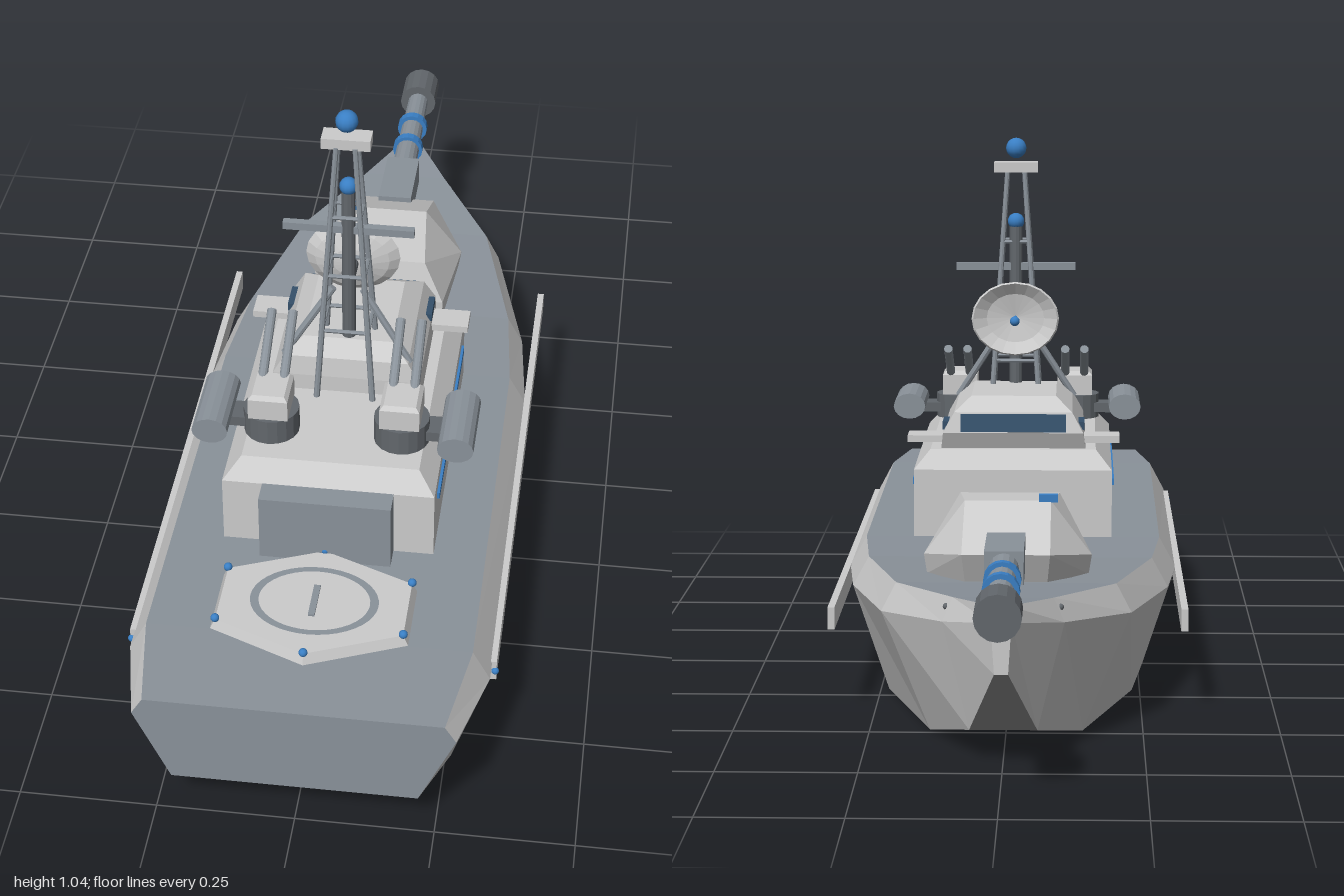
import * as THREE from 'three';
import { ConvexGeometry } from 'three/addons/geometries/ConvexGeometry.js';

const mat = (color) => new THREE.MeshStandardMaterial({ color, flatShading: false });
const flat = (color) => new THREE.MeshStandardMaterial({ color, flatShading: true });
const GREY = 0xcccccc, SLATE = 0x8a929a, DARK = 0x62676c, BLUE = 0x3a7fc4, GLASS = 0x35506a;
const V = (x, y, z) => new THREE.Vector3(x, y, z);

export function createModel() {
  const model = new THREE.Group();

  const add = (name, geo, color, x = 0, y = 0, z = 0, parent = model, smooth = false) => {
    const m = new THREE.Mesh(geo, smooth ? mat(color) : flat(color));
    m.name = name;
    m.position.set(x, y, z);
    parent.add(m);
    return m;
  };
  const box = (name, w, h, d, color, x, y, z, parent) =>
    add(name, new THREE.BoxGeometry(w, h, d), color, x, y, z, parent);
  const ball = (name, r, x, y, z, color = BLUE) =>
    add(name, new THREE.SphereGeometry(r, 14, 10), color, x, y, z, model, true);
  // Round bar between two points
  const rod = (name, a, b, r, color, r2 = r, sides = 12) => {
    const m = add(name, new THREE.CylinderGeometry(r2, r, a.distanceTo(b), sides), color);
    m.position.copy(a).add(b).multiplyScalar(0.5);
    m.quaternion.setFromUnitVectors(V(0, 1, 0), b.clone().sub(a).normalize());
    return m;
  };
  // Surface through rows of points
  const skin = (name, rows, color) => {
    const p = [];
    for (let i = 0; i < rows.length - 1; i++)
      for (let j = 0; j < rows[i].length - 1; j++) {
        const a = rows[i][j], b = rows[i][j + 1], c = rows[i + 1][j + 1], d = rows[i + 1][j];
        for (const v of [a, b, c, a, c, d]) p.push(v.x, v.y, v.z);
      }
    const g = new THREE.BufferGeometry();
    g.setAttribute('position', new THREE.Float32BufferAttribute(p, 3));
    g.computeVertexNormals();
    return add(name, g, color);
  };
  // Solid block from stacked rectangles [y, halfWidth, zBow, zStern]
  const block = (name, levels, color) => add(name, new ConvexGeometry(
    levels.flatMap(([y, w, a, b]) => [V(-w, y, a), V(w, y, a), V(-w, y, b), V(w, y, b)])), color);

  // Hull stations: z, then half width and height of deck edge, knuckle and bottom
  const stations = [
    [1.0, 0.265, 0.258, 0.285, 0.225, 0.22, 0.08],
    [0.81, 0.295, 0.26, 0.327, 0.2, 0.26, 0],
    [0.0, 0.292, 0.26, 0.325, 0.2, 0.26, 0],
    [-0.2, 0.272, 0.262, 0.303, 0.205, 0.235, 0],
    [-0.48, 0.2, 0.276, 0.228, 0.222, 0.14, 0],
    [-0.67, 0.088, 0.294, 0.107, 0.25, 0.06, 0.055],
    [-0.8, 0.014, 0.31, 0.018, 0.28, 0.012, 0.19],
  ];
  const at = (s, k, side) => V(side * s[1 + 2 * k], s[2 + 2 * k], s[0]);
  const pair = (s, k) => [at(s, k, -1), at(s, k, 1)];
  const stern = stations[0], bow = stations[stations.length - 1];
  skin('hullSideLeft', stations.map((s) => [0, 1, 2].map((k) => at(s, k, 1))), GREY);
  skin('hullSideRight', stations.map((s) => [2, 1, 0].map((k) => at(s, k, -1))), GREY);
  skin('hullBottom', stations.map((s) => pair(s, 2).reverse()), 0x8c8c8c);
  skin('deck', stations.map((s) => pair(s, 0)), SLATE);
  skin('transom', [2, 1, 0].map((k) => pair(stern, k)), SLATE);
  skin('stem', [0, 1, 2].map((k) => pair(bow, k)), GREY);

  // Deckhouse, bridge and hangar door
  block('deckhouse', [[0.255, 0.197, -0.005, 0.557], [0.395, 0.197, -0.005, 0.557],
    [0.432, 0.165, 0.025, 0.525]], GREY);
  block('bridge', [[0.425, 0.145, 0.04, 0.31], [0.465, 0.14, 0.022, 0.31],
    [0.505, 0.118, 0.032, 0.305], [0.532, 0.085, 0.075, 0.275]], GREY);
  const glass = box('bridgeWindow', 0.21, 0.036, 0.008, GLASS, 0, 0.484, 0.027);
  glass.rotation.x = 0.25;
  box('hangarDoor', 0.244, 0.135, 0.05, SLATE, 0, 0.328, 0.578);

  for (const s of [-1, 1]) {
    box('sideStripe', 0.006, 0.014, 0.46, BLUE, s * 0.199, 0.362, 0.28);
    box('bridgeWing', 0.075, 0.014, 0.055, GREY, s * 0.175, 0.448, 0.077);
    box('bridgeSideWindow', 0.012, 0.016, 0.06, GLASS, s * 0.136, 0.475, 0.08);
    box('strake', 0.013, 0.042, 1.15, GREY, s * 0.329, 0.183, 0.195);
    ball('strakeLight', 0.007, s * 0.333, 0.183, 0.77);
    ball('hawse', 0.006, s * 0.1, 0.275, -0.66, DARK);

    // Aft twin gun
    add('gunDrum', new THREE.CylinderGeometry(0.052, 0.052, 0.05, 18), DARK, s * 0.122, 0.458, 0.435);
    block('gunHousing', [[0, 0.037, -0.045, 0.04], [0.042, 0.037, -0.045, 0.04],
      [0.05, 0.03, -0.038, 0.033]], GREY).position.set(s * 0.122, 0.484, 0.44);
    for (const dx of [-0.02, 0.02])
      rod('gunBarrel', V(s * 0.122 + dx, 0.515, 0.43), V(s * 0.122 + dx, 0.597, 0.29), 0.009, SLATE);
    // Side pod
    const pod = rod('sidePod', V(s * 0.228, 0.465, 0.352), V(s * 0.228, 0.465, 0.503), 0.03, SLATE, 0.03, 16);
    pod.scale.set(1.12, 1, 0.9);
    box('podBracket', 0.06, 0.02, 0.05, DARK, s * 0.18, 0.455, 0.43);
  }

  // Landing pad
  const pad = add('landingPad', new THREE.CylinderGeometry(0.138, 0.146, 0.022, 6), GREY, 0, 0.269, 0.735);
  pad.scale.x = 1.42;
  const ring = add('padRing', new THREE.RingGeometry(0.078, 0.09, 40), SLATE, 0, 0.282, 0.735);
  ring.rotation.x = -Math.PI / 2;
  ring.scale.x = 1.3;
  box('padBar', 0.012, 0.006, 0.08, SLATE, 0, 0.281, 0.735);
  for (let i = 0; i < 6; i++) {
    const a = i * Math.PI / 3;
    ball('padLight', 0.008, Math.sin(a) * 0.138 * 1.42, 0.283, 0.735 + Math.cos(a) * 0.138);
  }

  // Missile cells
  box('cellBase', 0.225, 0.045, 0.145, DARK, 0, 0.278, -0.105);
  for (const x of [-0.073, 0, 0.073])
    for (const z of [-0.142, -0.072]) {
      box('cellHatch', 0.055, 0.008, 0.052, SLATE, x, 0.303, z);
      box('cellLid', 0.022, 0.006, 0.022, DARK, x, 0.306, z);
    }

  // Main turret
  const turret = [];
  for (const s of [-1, 1]) turret.push(
    V(s * 0.135, 0.268, -0.18), V(s * 0.15, 0.268, -0.37), V(s * 0.075, 0.28, -0.49),
    V(s * 0.135, 0.305, -0.18), V(s * 0.156, 0.305, -0.37), V(s * 0.08, 0.335, -0.515),
    V(s * 0.095, 0.388, -0.2), V(s * 0.08, 0.405, -0.365));
  add('mainTurret', new ConvexGeometry(turret), GREY);
  box('turretSight', 0.035, 0.014, 0.014, BLUE, -0.075, 0.41, -0.362);

  // Main gun, pointing over the bow
  const gunY = 0.337;
  const gun = (name, z0, z1, r, color, r2 = r) => rod(name, V(0, gunY, z0), V(0, gunY, z1), r, color, r2, 16);
  box('gunMantlet', 0.07, 0.06, 0.16, SLATE, 0, gunY, -0.55);
  gun('mainBarrel', -0.6, -0.95, 0.027, SLATE, 0.022);
  gun('muzzle', -0.92, -1.0, 0.04, DARK);
  for (const z of [-0.72, -0.81]) gun('barrelBand', z + 0.009, z - 0.009, 0.033, BLUE);

  // Lattice mast
  const leg = (sx, sz, y) => {
    const t = (y - 0.48) / 0.48;
    return V(sx * (0.05 - 0.032 * t), y, 0.279 + sz * (0.047 - 0.03 * t));
  };
  const corners = [[-1, -1], [1, -1], [1, 1], [-1, 1]];
  corners.forEach(([sx, sz], i) => {
    rod('mastLeg', leg(sx, sz, 0.43), leg(sx, sz, 0.97), 0.006, SLATE, 0.005, 8);
    const [nx, nz] = corners[(i + 1) % 4];
    for (const y of [0.58, 0.7, 0.825])
      rod('mastRung', leg(sx, sz, y), leg(nx, nz, y), 0.004, SLATE, 0.004, 6);
  });
  rod('mastPole', V(0, 0.43, 0.26), V(0, 0.865, 0.26), 0.013, DARK);
  for (const s of [-1, 1])
    rod('mastBrace', V(s * 0.12, 0.5, 0.29), V(s * 0.028, 0.645, 0.27), 0.007, SLATE, 0.007, 8);
  box('yardarm', 0.245, 0.015, 0.015, SLATE, 0, 0.774, 0.26);
  box('mastPlatform', 0.09, 0.021, 0.04, GREY, 0, 0.977, 0.277);
  ball('poleLight', 0.017, 0, 0.867, 0.26);
  ball('mastLight', 0.021, 0, 1.016, 0.277);

  // Radar dish, facing the bow
  const dish = add('radarDish', new THREE.LatheGeometry(
    [[0, 0], [0.03, 0.004], [0.06, 0.016], [0.076, 0.03], [0.073, 0.034], [0.05, 0.018], [0, 0.008]]
      .map(([x, y]) => new THREE.Vector2(x, y)), 20), GREY, 0, 0.672, 0.228);
  dish.material.side = THREE.DoubleSide;
  dish.rotation.x = -Math.PI / 2;
  dish.scale.x = 1.18;
  rod('dishMount', V(0, 0.672, 0.26), V(0, 0.672, 0.222), 0.014, DARK);
  rod('dishFeed', V(0, 0.672, 0.225), V(0, 0.672, 0.16), 0.004, BLUE, 0.004, 8);
  ball('dishFeedTip', 0.01, 0, 0.672, 0.16);

  return model;
}
